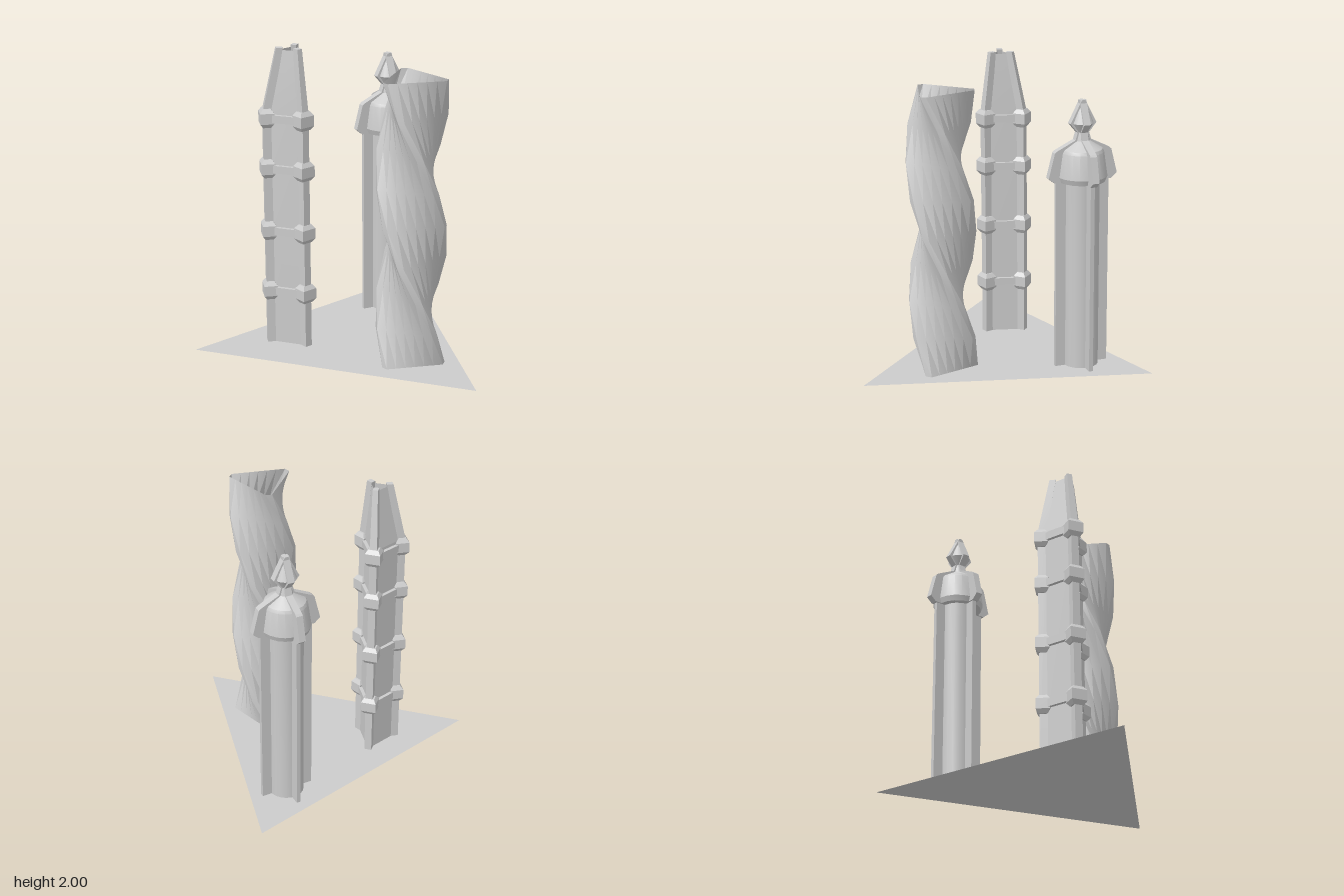
import * as THREE from 'three';
import { toCreasedNormals } from 'three/addons/utils/BufferGeometryUtils.js';

const grey = new THREE.MeshStandardMaterial({ color: 0xcccccc, side: THREE.DoubleSide });
const RAD = Math.PI / 180;

function mesh(geometry, name, parent) {
  const m = new THREE.Mesh(geometry, grey);
  m.name = name;
  parent.add(m);
  return m;
}

// Skin a stack of rings; each ring is a list of [x, y, z], angle running from +x to +z
function loft(rings, capped, crease = 0.3) {
  const pos = [];
  const tri = (...pts) => pts.forEach((p) => pos.push(...p));
  const n = rings[0].length;
  for (let i = 0; i < rings.length - 1; i++) {
    for (let j = 0; j < n; j++) {
      const k = (j + 1) % n;
      tri(rings[i][j], rings[i + 1][j], rings[i][k]);
      tri(rings[i][k], rings[i + 1][j], rings[i + 1][k]);
    }
  }
  if (capped) {
    const first = rings[0], last = rings[rings.length - 1];
    for (let j = 1; j < n - 1; j++) {
      tri(first[0], first[j], first[j + 1]);
      tri(last[0], last[j + 1], last[j]);
    }
  }
  const g = new THREE.BufferGeometry();
  g.setAttribute('position', new THREE.Float32BufferAttribute(pos, 3));
  return toCreasedNormals(g, crease);
}

// Rectangle pointing outwards along an angle, from radius r0 to r1
function radialRect(angle, r0, r1, width, y, cx = 0, cz = 0) {
  const c = Math.cos(angle), s = Math.sin(angle), h = width / 2;
  return [[r0, -h], [r1, -h], [r1, h], [r0, h]]
    .map(([r, t]) => [cx + r * c - t * s, y, cz + r * s + t * c]);
}

// Three-sided tower with corner posts, clamps and a tapered open top
function createTriangularTower() {
  const tower = new THREE.Group();
  tower.name = 'triangularTower';
  const corners = [-90, 30, 150].map((a) => a * RAD);
  const [tx, tz] = [0.02, 0.005];

  const wallRing = (r, y, x, z) => corners.map((a) => [x + r * Math.cos(a), y, z + r * Math.sin(a)]);
  mesh(loft([
    wallRing(0.16, 0, 0, 0), wallRing(0.16, 1.59, 0, 0), wallRing(0.08, 1.985, tx, tz),
  ], false, 0.1), 'wallPanels', tower);

  for (const a of corners) {
    mesh(loft([
      radialRect(a, 0.11, 0.169, 0.05, 0),
      radialRect(a, 0.11, 0.169, 0.05, 1.59),
      radialRect(a, 0.05, 0.093, 0.036, 2, tx, tz),
    ], true, 0.1), 'cornerPost', tower);
  }

  for (const y of [0.37, 0.788, 1.21, 1.545]) {
    for (const a of corners) {
      mesh(loft([
        radialRect(a, 0.12, 0.17, 0.07, y - 0.062),
        radialRect(a, 0.1, 0.189, 0.105, y - 0.035),
        radialRect(a, 0.1, 0.189, 0.105, y + 0.035),
        radialRect(a, 0.12, 0.17, 0.07, y + 0.062),
      ], true, 0.1), 'clamp', tower);
      // The bar lies on the wall opposite this corner
      const bar = mesh(new THREE.BoxGeometry(0.04, 0.05, 0.24), 'crossBar', tower);
      bar.position.set(-0.083 * Math.cos(a), y, -0.083 * Math.sin(a));
      bar.rotation.y = -a;
    }
  }
  tower.position.set(-0.414, 0, 0.45);
  return tower;
}

// Upright blade: a radial outline extruded to a thickness
function blade(points, thickness) {
  const shape = new THREE.Shape(points.map(([r, y]) => new THREE.Vector2(r, y)));
  const g = new THREE.ExtrudeGeometry(shape, { depth: thickness, bevelEnabled: false });
  return g.translate(0, 0, -thickness / 2);
}

// Round column with four fins and a pointed finial
function createRoundTower() {
  const tower = new THREE.Group();
  tower.name = 'roundTower';
  const profile = [
    [0, 0], [0.118, 0], [0.118, 1.275], [0.155, 1.275], [0.168, 1.31], [0.145, 1.47], [0.135, 1.49],
    [0.05, 1.545], [0.038, 1.6], [0.075, 1.66], [0.014, 1.812], [0, 1.812],
  ].map(([r, y]) => new THREE.Vector2(r, y));
  mesh(toCreasedNormals(new THREE.LatheGeometry(profile, 20), 0.4), 'columnCore', tower);

  const shaft = [[0, 0], [0.185, 0], [0.185, 1.3], [0, 1.3]];
  const head = [
    [0, 1.275], [0.2, 1.275], [0.24, 1.31], [0.198, 1.475], [0.185, 1.487],
    [0.055, 1.55], [0.04, 1.6], [0.09, 1.66], [0.012, 1.812], [0, 1.812],
  ];
  for (let i = 0; i < 4; i++) {
    const fin = new THREE.Group();
    fin.name = 'fin';
    mesh(blade(shaft, 0.028), 'shaftFin', fin);
    mesh(blade(head, 0.046), 'headFin', fin);
    fin.rotation.y = (45 + 90 * i) * RAD;
    tower.add(fin);
  }
  tower.position.set(0, 0, -0.308);
  return tower;
}

// Hollow triangular prism with clipped corners, twisted by 240 degrees
function createTwistedTower() {
  const tower = new THREE.Group();
  tower.name = 'twistedTower';
  const R = 0.226, height = 1.885, levels = 8, columns = 6, clip = 5.5;
  const rings = [];
  for (let i = 0; i <= levels; i++) {
    const ring = [];
    for (let side = 0; side < 3; side++) {
      const a = (side * 120 + i * 30 + clip) * RAD;
      const b = (side * 120 + i * 30 + 120 - clip) * RAD;
      for (let c = 0; c <= columns; c++) {
        const t = c / columns;
        ring.push([
          R * THREE.MathUtils.lerp(Math.cos(a), Math.cos(b), t),
          height * i / levels,
          R * THREE.MathUtils.lerp(Math.sin(a), Math.sin(b), t),
        ]);
      }
    }
    rings.push(ring);
  }
  mesh(loft(rings, false, 0.35), 'twistedWalls', tower);
  tower.position.set(0.424, 0, 0.505);
  return tower;
}

export function createModel() {
  const model = new THREE.Group();
  model.name = 'threeTowers';

  // Thin triangular ground plate
  const plate = new THREE.Shape([[0, 0.825], [-0.952, -0.825], [0.952, -0.825]]
    .map(([x, y]) => new THREE.Vector2(x, y)));
  mesh(new THREE.ShapeGeometry(plate).rotateX(-Math.PI / 2), 'groundPlate', model);

  model.add(createTriangularTower(), createRoundTower(), createTwistedTower());
  return model;
}
